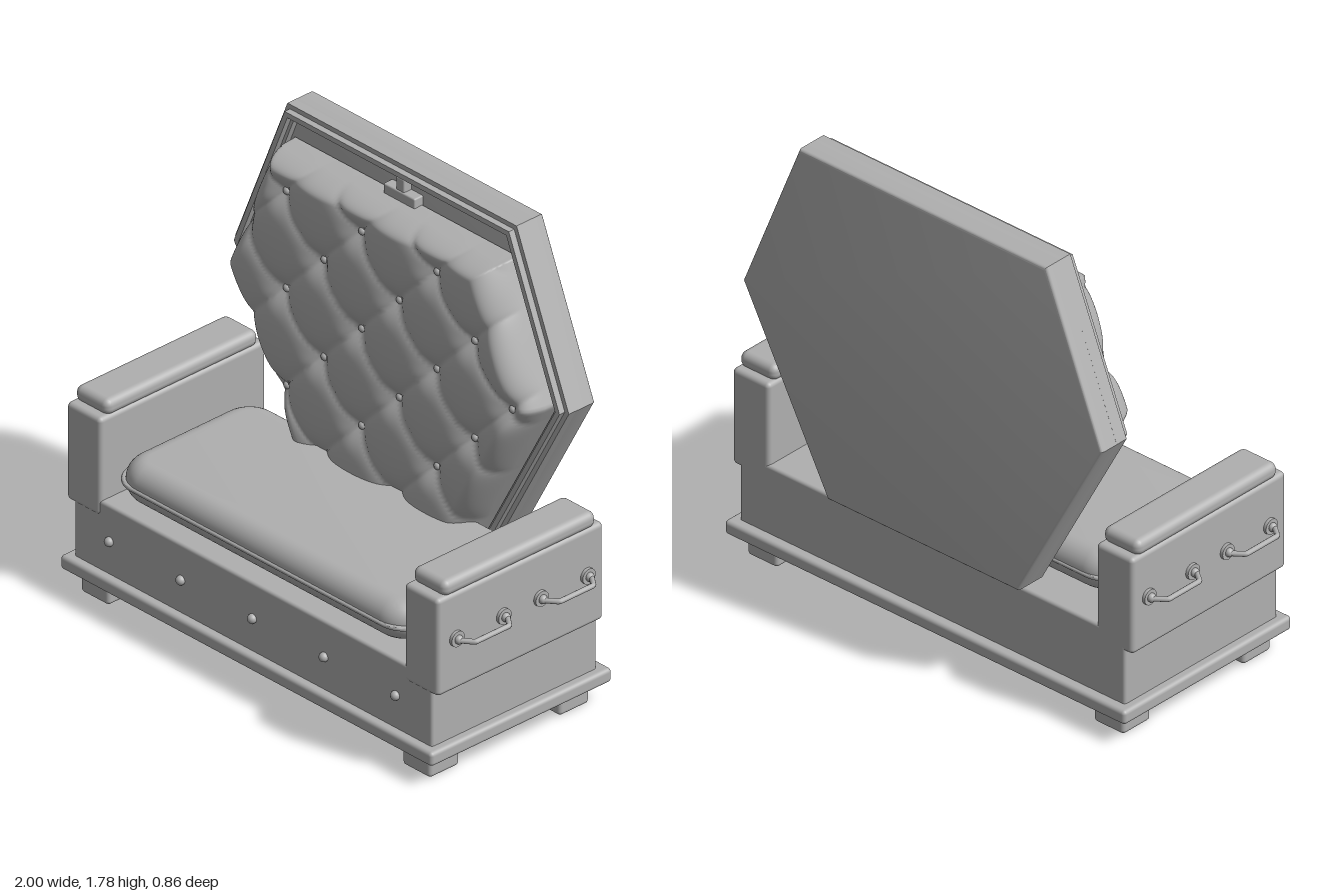
import * as THREE from 'three';
import { toCreasedNormals } from 'three/addons/utils/BufferGeometryUtils.js';
import { RoundedBoxGeometry } from 'three/addons/geometries/RoundedBoxGeometry.js';

const grey = new THREE.MeshStandardMaterial({ color: 0xb0b0b0 });
grey.name = 'plain grey';

function add(group, name, geometry, x = 0, y = 0, z = 0) {
  const mesh = new THREE.Mesh(geometry, grey);
  mesh.name = name;
  mesh.position.set(x, y, z);
  group.add(mesh);
  return mesh;
}

// Rounded box given by its extents
function block(group, name, [x0, x1], [y0, y1], [z0, z1], r) {
  const geometry = new RoundedBoxGeometry(x1 - x0, y1 - y0, z1 - z0, 3, r);
  return add(group, name, geometry, (x0 + x1) / 2, (y0 + y1) / 2, (z0 + z1) / 2);
}

// Six-sided back outline, inset by d
function hexPoints(d) {
  const top = 1.785 - d, bottom = 0.43 + d;
  const a = 0.57 - 0.67 * d, b = 0.83 - 1.11 * d, c = 0.44 - 0.6 * d;
  return [[-a, top], [-b, 1.15], [-c, bottom], [c, bottom], [b, 1.15], [a, top]]
    .map(([x, y]) => new THREE.Vector2(x, y));
}

// Half width of the inset outline at height y
function hexHalfWidth(y, d) {
  const [top, mid, low] = hexPoints(d);
  const end = y > 1.15 ? top : low;
  return THREE.MathUtils.lerp(-mid.x, -end.x, (y - 1.15) / (end.y - 1.15));
}

function hexPlate(group, name, d, z0, z1, bevel, holeInset) {
  const shape = new THREE.Shape(hexPoints(d + bevel));
  if (holeInset) shape.holes.push(new THREE.Path(hexPoints(holeInset).reverse()));
  const geometry = new THREE.ExtrudeGeometry(shape, {
    depth: z1 - z0 - 2 * bevel, bevelEnabled: bevel > 0,
    bevelThickness: bevel, bevelSize: bevel, bevelSegments: 3,
  });
  add(group, name, toCreasedNormals(geometry, 0.6), 0, 0, z0 + bevel);
}

// Flat-lying rounded rectangle with an elliptical edge
function slab(group, name, hx, z0, z1, y0, y1, edge, corner) {
  const x = hx - edge, hz = (z1 - z0) / 2 - edge, r = corner;
  const s = new THREE.Shape();
  s.moveTo(-x + r, -hz);
  s.lineTo(x - r, -hz);
  s.absarc(x - r, -hz + r, r, -Math.PI / 2, 0);
  s.absarc(x - r, hz - r, r, 0, Math.PI / 2);
  s.absarc(-x + r, hz - r, r, Math.PI / 2, Math.PI);
  s.absarc(-x + r, -hz + r, r, Math.PI, Math.PI * 1.5);
  const half = (y1 - y0) / 2;
  const geometry = new THREE.ExtrudeGeometry(s, {
    depth: 0.004, bevelThickness: half - 0.002, bevelSize: edge, bevelSegments: 8, curveSegments: 8,
  });
  geometry.translate(0, 0, -0.002).rotateX(-Math.PI / 2);
  add(group, name, toCreasedNormals(geometry, 0.9), 0, (y0 + y1) / 2, (z0 + z1) / 2);
}

// Diamond tufting: buttons sit where both lattice coordinates are whole
const STEP_X = 0.375, STEP_Y = 0.385, BUTTON_X = -0.095, BUTTON_Y = 1.52;
function padHeight(x, y) {
  const p = (x - BUTTON_X) / STEP_X, q = (y - BUTTON_Y) / STEP_Y;
  const su = Math.abs(Math.sin(Math.PI * (p + q))), sv = Math.abs(Math.sin(Math.PI * (p - q)));
  const crease = Math.exp(-su * 5) + Math.exp(-sv * 5);
  const pinch = Math.exp(-(su * su + sv * sv) * 2.2);
  const dimple = 0.012 * crease + 0.035 * pinch + 0.01 * (1 - su * sv);
  // Rounded shoulder towards the outline
  const side = (hexHalfWidth(y, 0.065) - Math.abs(x)) * 0.9;
  const e = THREE.MathUtils.clamp(Math.min(side / 0.075, (1.65 - y) / 0.055), 0, 1);
  const rise = Math.sqrt(1 - (1 - e) ** 2);
  return -0.33 + (0.177 - dimple) * rise;
}

function tuftedPad() {
  const NX = 130, NY = 120, positions = [], indices = [];
  for (let j = 0; j <= NY; j++) {
    const v = j / NY;
    const y = 0.5 + 1.15 * (0.5 * v + 0.5 * Math.sin(v * Math.PI / 2));
    const w = hexHalfWidth(y, 0.065);
    for (let i = 0; i <= NX; i++) {
      const t = i / NX * 2 - 1;
      const x = w * (0.4 * t + 0.6 * Math.sin(t * Math.PI / 2));
      positions.push(x, y, padHeight(x, y));
      if (i < NX && j < NY) {
        const a = j * (NX + 1) + i, b = a + NX + 1;
        indices.push(a, a + 1, b + 1, a, b + 1, b);
      }
    }
  }
  const geometry = new THREE.BufferGeometry();
  geometry.setAttribute('position', new THREE.Float32BufferAttribute(positions, 3));
  geometry.setIndex(indices);
  geometry.computeVertexNormals();
  return geometry;
}

export function createModel() {
  const model = new THREE.Group();
  model.name = 'tuftedBench';

  // Base with plinth and feet
  block(model, 'plinth', [-0.925, 0.925], [0.085, 0.14], [-0.425, 0.425], 0.015);
  block(model, 'base', [-0.89, 0.89], [0.12, 0.41], [-0.385, 0.39], 0.012);
  for (const s of [-1, 1]) {
    for (const z of [-0.3, 0.31]) {
      block(model, 'foot', [s * 0.8 - 0.07, s * 0.8 + 0.07], [0, 0.1], [z - 0.07, z + 0.07], 0.015);
    }
  }
  const stud = new THREE.SphereGeometry(0.018, 16, 10);
  for (let i = -2; i <= 2; i++) add(model, 'frontStud', stud, i * 0.356, 0.27, 0.394);

  // Arms, their pads and the carrying handles
  for (const s of [-1, 1]) {
    const arm = new THREE.Group();
    arm.name = s > 0 ? 'leftArm' : 'rightArm';
    model.add(arm);
    const span = (a, b) => s > 0 ? [a, b] : [-b, -a];
    block(arm, 'armBody', span(0.755, 0.925), [0.35, 0.735], [-0.385, 0.395], 0.018);
    block(arm, 'armPad', span(0.757, 0.923), [0.725, 0.788], [-0.355, 0.36], 0.027);
    for (const zc of [0.2, -0.195]) {
      const path = new THREE.CurvePath();
      const pts = [[0.92, 0.11], [0.95, 0.11], [0.99, 0.08], [0.99, -0.08], [0.95, -0.11], [0.92, -0.11]]
        .map(([x, z]) => new THREE.Vector3(s * x, 0.555, zc + z));
      for (let i = 1; i < pts.length; i++) path.add(new THREE.LineCurve3(pts[i - 1], pts[i]));
      add(arm, 'handleBar', new THREE.TubeGeometry(path, 50, 0.01, 10));
      for (const dz of [-0.11, 0.11]) {
        const rose = new THREE.CylinderGeometry(0.03, 0.03, 0.014, 24).rotateZ(Math.PI / 2);
        add(arm, 'handleMount', rose, s * 0.93, 0.555, zc + dz);
        add(arm, 'handleCollar', new THREE.SphereGeometry(0.017, 14, 10), s * 0.94, 0.555, zc + dz);
      }
    }
  }

  // Seat cushion with piping
  slab(model, 'seatCushion', 0.73, -0.29, 0.37, 0.43, 0.585, 0.075, 0.05);
  slab(model, 'seatPiping', 0.74, -0.295, 0.378, 0.497, 0.513, 0.008, 0.11);

  // Hexagonal back: slab, rim and raised lip
  hexPlate(model, 'backPanel', 0, -0.435, -0.335, 0.012);
  hexPlate(model, 'backRim', 0, -0.36, -0.31, 0, 0.05);
  hexPlate(model, 'backLip', 0.018, -0.33, -0.285, 0, 0.038);

  // Tufted back pad and its buttons
  add(model, 'backPad', tuftedPad());
  const button = new THREE.SphereGeometry(0.016, 16, 10);
  for (let row = 0; row < 5; row++) {
    const y = BUTTON_Y - row * STEP_Y / 2;
    for (let k = -3; k <= 3; k++) {
      const x = BUTTON_X + (k + (row % 2) / 2) * STEP_X;
      if (Math.abs(x) < hexHalfWidth(y, 0.085) - 0.03) add(model, 'padButton', button, x, y, padHeight(x, y) + 0.006);
    }
  }

  // Latch above the pad
  block(model, 'latchPlate', [-0.078, 0.078], [1.64, 1.685], [-0.345, -0.295], 0.006);
  block(model, 'latchStem', [-0.02, 0.02], [1.67, 1.735], [-0.345, -0.3], 0.006);

  return model;
}
